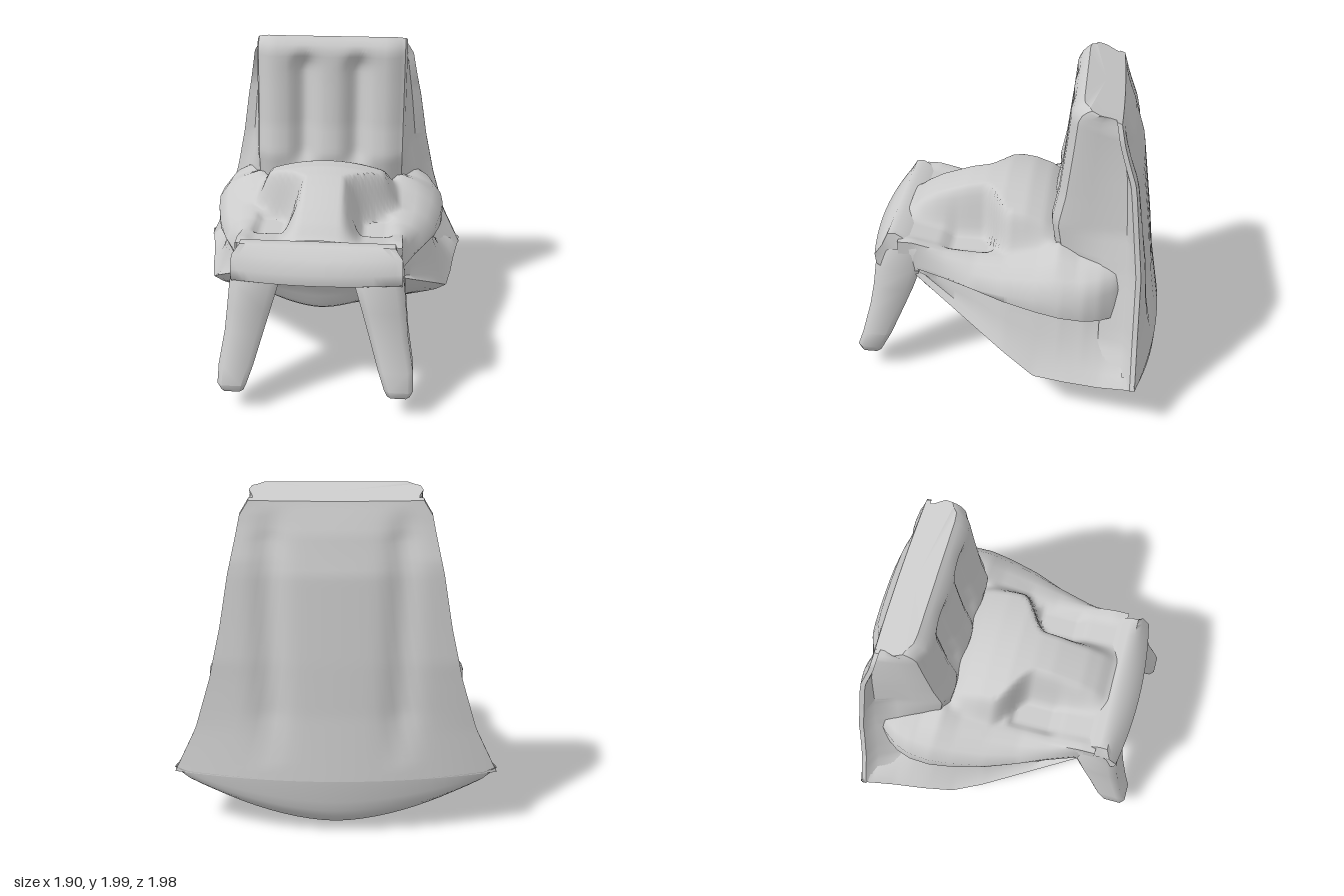
import * as THREE from 'three';
import { toCreasedNormals } from 'three/addons/utils/BufferGeometryUtils.js';

const material = new THREE.MeshStandardMaterial({ color: 0xcccccc, side: THREE.DoubleSide });
const clamp = (v) => Math.min(1, Math.max(0, v));
const ease = (v) => clamp(v) ** 2 * (3 - 2 * clamp(v));
const bell = (v) => Math.exp(-v * v);

// Linear interpolation through [position, value] keys
function key(keys, t) {
  if (t <= keys[0][0]) return keys[0][1];
  for (let i = 1; i < keys.length; i++) {
    const [a, va] = keys[i - 1], [b, vb] = keys[i];
    if (t <= b) return va + (vb - va) * (t - a) / (b - a);
  }
  return keys[keys.length - 1][1];
}

const steps = (from, to, n) => Array.from({ length: n + 1 }, (_, i) => from + (to - from) * i / n);

// Closes a half outline (centre line to centre line) by mirroring in x
const mirrorRing = (half) => [...half, ...half.slice(1, -1).reverse().map(([x, y, z]) => [-x, y, z])];

// Skins a capped solid over rings of equal length, leaving out faces buried in a neighbouring part
function loft(name, rings, crease, buried) {
  const n = rings[0].length, pos = rings.flat(2), faces = [];
  for (let r = 0; r < rings.length - 1; r++) {
    for (let i = 0; i < n; i++) {
      const a = r * n + i, b = r * n + (i + 1) % n;
      faces.push([a, b, b + n], [a, b + n, a + n]);
    }
  }
  [0, rings.length - 1].forEach((r) => {
    const c = pos.length / 3;
    for (let k = 0; k < 3; k++) pos.push(rings[r].reduce((s, p) => s + p[k], 0) / n);
    for (let i = 0; i < n; i++) {
      const a = r * n + i, b = r * n + (i + 1) % n;
      faces.push(r === 0 ? [c, b, a] : [c, a, b]);
    }
  });
  // Turn the faces outward when the signed volume is negative
  const P = (i) => new THREE.Vector3().fromArray(pos, i * 3);
  const volume = faces.reduce((s, [a, b, c]) => s + P(a).dot(P(b).cross(P(c))), 0);
  const kept = faces.filter(([a, b, c]) => !buried(P(a).add(P(b)).add(P(c)).divideScalar(3)));
  const geo = new THREE.BufferGeometry();
  geo.setAttribute('position', new THREE.Float32BufferAttribute(pos, 3));
  geo.setIndex(kept.map(([a, b, c]) => (volume < 0 ? [a, c, b] : [a, b, c])).flat());
  const mesh = new THREE.Mesh(toCreasedNormals(geo, crease), material);
  mesh.name = name;
  return mesh;
}

// Seat surface: side rails, T-shaped cushion, hollows beside it and ledges in front
function seatHeight(x, z) {
  const rail = key([[-0.45, 1.02], [-0.32, 1.06], [-0.2, 1.0], [0, 0.95], [0.2, 0.93], [0.4, 0.95], [0.6, 1]], z);
  const crown = key([[-0.36, 1.04], [-0.3, 1.13], [-0.22, 1.19], [-0.1, 1.235], [0.05, 1.255], [0.18, 1.245], [0.3, 1.22], [0.5, 1.15], [0.6, 1.095], [0.68, 1.03]], z);
  const floor = Math.min(rail, key([[0.05, 1], [0.12, 0.9], [0.37, 0.9], [0.44, 0.95], [0.7, 1.0]], z));
  // Cushion half width: full at the rear, curving in to a narrow neck
  const width = 0.26 + 0.24 * (1 - ease((z + 0.02) / 0.22));
  const base = floor + (rail - floor) * ease((x - 0.4) / 0.06);
  const top = Math.max(base, crown - 0.45 * x * x);
  return base + (top - base) * ease((width - x) / 0.14);
}

// Seat, flaring arms, recessed flanks and hanging belly
function body() {
  const seatXs = steps(0, 0.5, 25);
  const zs = [-0.83, -0.827, -0.82, ...steps(-0.81, 0.69, 75)];
  return loft('body', zs.map((z) => {
    const xa = key([[-0.8, 0.56], [-0.7, 0.67], [-0.6, 0.74], [-0.5, 0.775], [-0.35, 0.785], [-0.2, 0.765], [0, 0.72], [0.2, 0.65], [0.4, 0.57], [0.6, 0.5]], z);
    const ya = key([[-0.6, 0.94], [-0.2, 0.9], [0.2, 0.86], [0.6, 0.88], [0.69, 0.92]], z);
    const yg = key([[-0.83, 0.62], [0.6, 0.8], [0.69, 0.86]], z);
    const xr = key([[-0.83, 0.95], [-0.6, 0.9], [-0.4, 0.87], [-0.2, 0.83], [0, 0.76], [0.2, 0.67], [0.4, 0.58], [0.6, 0.49]], z);
    const yr = key([[-0.83, 0.36], [-0.8, 0.33], [-0.6, 0.29], [-0.2, 0.28], [0.57, 0.74], [0.69, 0.83]], z);
    const yb = key([[-0.83, 0.335], [-0.827, 0.2], [-0.82, 0.14], [-0.81, 0.1], [-0.77, 0.045], [-0.7, 0.01], [-0.62, 0], [-0.4, 0.045], [-0.2, 0.12], [0, 0.215], [0.2, 0.315], [0.4, 0.42], [0.51, 0.475], [0.56, 0.51], [0.6, 0.63], [0.69, 0.8]], z);
    const depth = key([[-0.6, 0.1], [0.2, 0.08], [0.6, 0.02]], z);
    const half = seatXs.map((x) => [x * Math.min(1, xa / 0.5), seatHeight(x, z)]);
    const rim = half[half.length - 1];
    half.push(
      [0.5 + (xa - 0.5) * 0.35, rim[1] * 0.65 + ya * 0.35 + 0.01],
      [0.5 + (xa - 0.5) * 0.75, rim[1] * 0.25 + ya * 0.75],
      [xa, ya - 0.07], [xa, yg + 0.04], [xa - depth, yg],
      [xa - depth + (xr - xa + depth) * 0.3, yg + (yr - yg) * 0.4],
      [xr - 0.05, yr + (yg - yr) * 0.2], [xr, yr]
    );
    for (let i = 11; i >= 0; i--) half.push([xr * i / 12, yb + (yr - yb - 0.02) * Math.pow(i / 12, 1.7)]);
    // Bowed rear, tucked just inside the back panel above the lower seam
    const rear = clamp((-0.4 - z) / 0.43);
    return mirrorRing(half.map(([x, y]) => [x, y, z + rear * (0.05 * clamp((y - 0.36) / 0.05)
      - 0.15 * (1 - (x / 0.95) ** 2) * clamp((1.05 - y) / 0.72))]));
  }), 1.1, (p) => (p.z < -0.42 && Math.abs(p.x) < 0.49 && p.y > 0.6)
    || (p.z < -0.76 && p.y > 0.38) || p.z > 0.685);
}

// Tall back: grooved front, waisted sides, rear corners flaring downward
function backrest() {
  const ys = [...steps(0.33, 1.9, 44), 1.94, 1.97, 1.99];
  return loft('backrest', ys.map((y) => {
    const zf = key([[0.85, -0.5], [1.0, -0.29], [1.2, -0.26], [1.4, -0.3], [1.7, -0.335], [1.9, -0.355], [1.95, -0.38], [1.99, -0.43]], y);
    const ws = key([[0.33, 0.84], [0.5, 0.72], [0.9, 0.62], [1.2, 0.545], [1.9, 0.51], [1.99, 0.48]], y);
    const wb = key([[0.33, 0.95], [0.6, 0.82], [0.9, 0.73], [1.2, 0.665], [1.6, 0.6], [1.9, 0.55], [1.99, 0.5]], y);
    const zb = key([[0.33, -0.83], [1, -0.82], [1.6, -0.75], [1.85, -0.68], [1.99, -0.65]], y);
    const zc = key([[0.33, -0.98], [0.7, -0.915], [1, -0.88], [1.5, -0.81], [1.8, -0.74], [1.9, -0.7], [1.99, -0.66]], y);
    const groove = 0.08 * ease((y - 1.08) / 0.14) * ease((1.93 - y) / 0.16);
    const half = [0, 0.04, 0.07, 0.1, 0.12, 0.14, 0.16, 0.18, 0.2, 0.22, 0.24, 0.27, 0.3, 0.36, 0.42, 0.46, 0.49].map((x) =>
      [x, zf - groove * bell((x - 0.18) / 0.08) - 0.05 * ease((x - 0.4) / 0.09)]);
    half.push([0.505, zf - 0.1], [(0.505 + ws) / 2, (zf - 0.69) / 2], [ws, -0.59],
      [(ws + wb) / 2 - 0.02, (zb - 0.59) / 2 - 0.03], [wb, zb + 0.03], [wb, zb]);
    // Shallow vertical channels either side of the back panel
    const dent = 0.04 * clamp((1.95 - y) / 0.2) * clamp((y - 0.4) / 0.3);
    for (let i = 13; i >= 0; i--) {
      const u = i / 14, x = wb * u;
      half.push([x, zb + (zc - zb) * (1 - u * u) + dent * bell((x - 0.38) / 0.08)]);
    }
    const tilt = 0.4 * clamp((y - 1.5) / 0.48);
    return mirrorRing(half.map(([x, z]) => [x, y - tilt * Math.max(0, -0.44 - z), z]));
  }), 0.8, (p) => (p.y < 0.93 && p.z > -0.58) || p.y < 0.331);
}

// Front rail joining the legs, bowed forward in the middle
function frontRail() {
  return loft('frontRail', steps(-1, 1, 24).map((u) => {
    const bow = 0.05 * (1 - u * u);
    return [[0.56, 0.79], [0.57, 0.96], [0.64, 0.99], [0.71, 1.035], [0.76, 1.03],
      [0.79 + bow * 0.7, 0.97], [0.84 + bow, 0.9], [0.835 + bow, 0.83], [0.77, 0.775]]
      .map(([z, y]) => [u * (y > 0.98 ? 0.46 : 0.505), y, z]);
  }), 0.9, (p) => p.z < 0.58 && Math.abs(p.x) < 0.5);
}

// Splayed front leg with chamfered corners; side is +1 (left) or -1 (right)
function frontLeg(side) {
  const sections = [ // y, inner x, outer x, back z, front z
    [0.94, 0.26, 0.495, 0.57, 0.8], [0.8, 0.225, 0.52, 0.555, 0.85],
    [0.65, 0.27, 0.535, 0.61, 0.87], [0.5, 0.315, 0.55, 0.675, 0.9], [0.3, 0.375, 0.585, 0.765, 0.955],
    [0.19, 0.415, 0.59, 0.825, 0.995], [0.14, 0.435, 0.57, 0.85, 0.98], [0.115, 0.465, 0.54, 0.87, 0.945]
  ];
  return loft(side > 0 ? 'leftFrontLeg' : 'rightFrontLeg', sections.map(([y, x0, x1, z0, z1]) => {
    const c = 0.17 * Math.min(x1 - x0, z1 - z0);
    return [[x0 + c, z0], [x1 - c, z0], [x1, z0 + c], [x1, z1 - c], [x1 - c, z1], [x0 + c, z1], [x0, z1 - c], [x0, z0 + c]]
      .map(([x, z]) => [side * x, y, z]);
  }), 0.9, (p) => p.y > 0.93);
}

export function createModel() {
  const group = new THREE.Group();
  group.name = 'chair';
  group.add(body(), backrest(), frontRail(), frontLeg(1), frontLeg(-1));
  return group;
}
